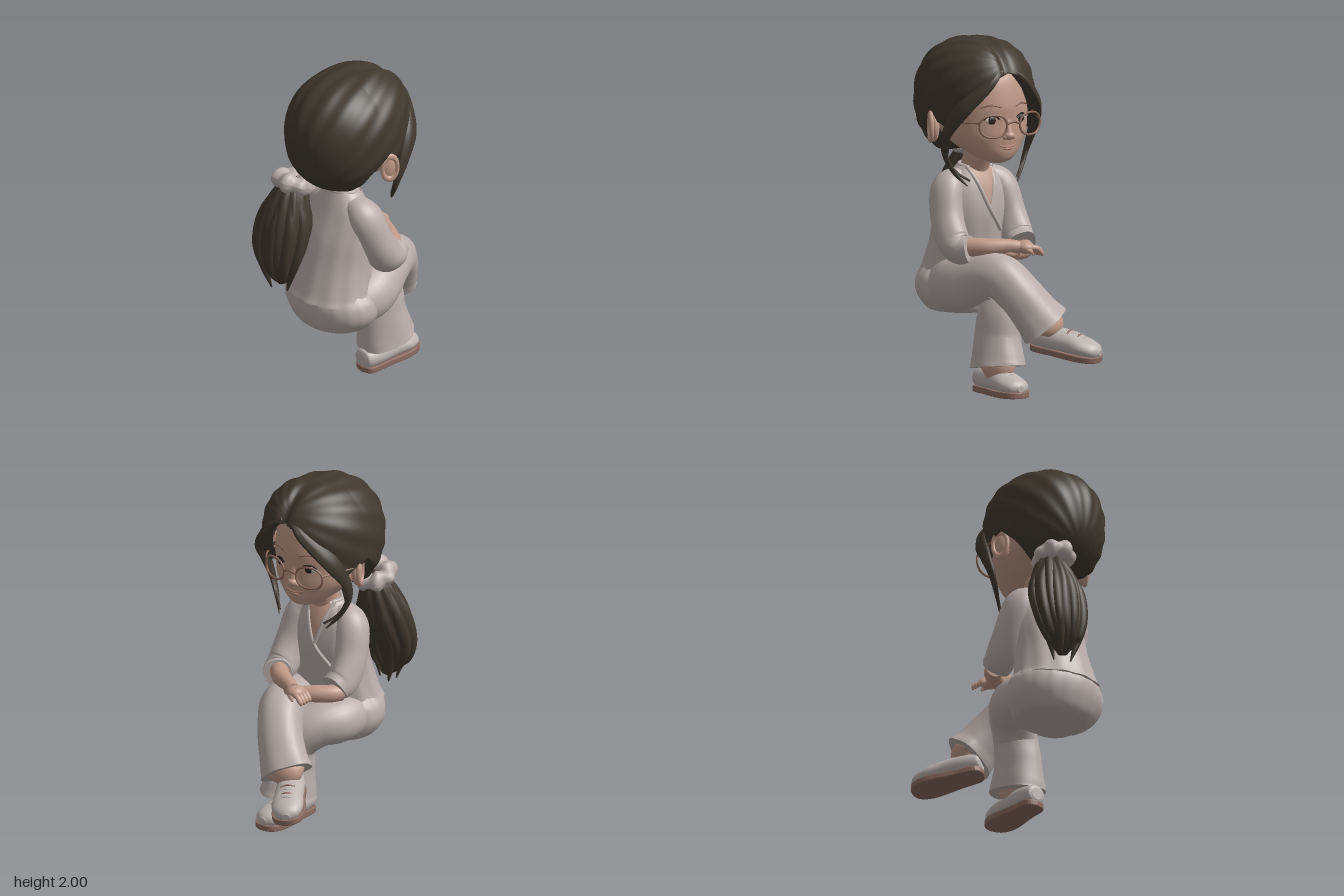
import * as THREE from 'three';

const mat = (name, color, side = THREE.FrontSide) => {
  const m = new THREE.MeshStandardMaterial({ color, side });
  m.name = name;
  return m;
};
const V = (p) => new THREE.Vector3(p[0], p[1], p[2]);

export function createModel() {
  const root = new THREE.Group();
  const hair = mat('dark hair', 0x40382e, THREE.DoubleSide), skin = mat('skin', 0xc09a88);
  const cloth = mat('cloth', 0xb9adaa, THREE.DoubleSide), shoe = mat('shoe', 0xbcb3b0);
  const sole = mat('sole', 0x8d6c61), frame = mat('glasses frame', 0x8a6658);
  const dark = mat('eye', 0x2c2420), lip = mat('lip', 0xb3826f), white = mat('eye white', 0xcabbb2);

  const add = (name, geo, m, parent = root) => {
    const mesh = new THREE.Mesh(geo, m);
    mesh.name = name;
    parent.add(mesh);
    return mesh;
  };

  // Closed loft along rows of [x, y, z, radius along ref, other radius]; axis fixes the ring normal
  function loft(rows, { ref = [0, 0, 1], axis, n = 28, steps = rows.length * 6, ripple = () => 0 } = {}) {
    const path = new THREE.CatmullRomCurve3(rows.map(V), false, 'catmullrom');
    const size = new THREE.CatmullRomCurve3(rows.map((r) => new THREE.Vector3(r[3], r[4] ?? r[3], 0)), false, 'catmullrom');
    const pos = [], idx = [], R = V(ref);
    const ring = (t) => {
      const p = path.getPoint(t), s = size.getPoint(t), T = axis ? V(axis) : path.getTangent(t);
      const S = R.clone().addScaledVector(T, -R.dot(T)).normalize(), N = T.clone().cross(S);
      for (let j = 0; j < n; j++) {
        const a = (j / n) * Math.PI * 2, k = 1 + ripple(a, t);
        const q = p.clone().addScaledVector(S, Math.max(s.x, 0.002) * k * Math.cos(a))
          .addScaledVector(N, Math.max(s.y, 0.002) * k * Math.sin(a));
        pos.push(q.x, q.y, q.z);
      }
    };
    for (let i = 0; i <= steps; i++) ring(i / steps);
    for (let i = 0; i < steps; i++) for (let j = 0; j < n; j++) {
      const a = i * n + j, b = i * n + (j + 1) % n;
      idx.push(a, b, a + n, b, b + n, a + n);
    }
    for (const t of [0, 1]) {
      const base = pos.length / 3, p = path.getPoint(t);
      ring(t);
      pos.push(p.x, p.y, p.z);
      for (let j = 0; j < n; j++) {
        const a = base + j, b = base + (j + 1) % n;
        t ? idx.push(a, b, base + n) : idx.push(b, a, base + n);
      }
    }
    return mesh3(pos, idx);
  }
  function mesh3(pos, idx) {
    const g = new THREE.BufferGeometry();
    g.setAttribute('position', new THREE.Float32BufferAttribute(pos, 3));
    g.setIndex(idx);
    g.computeVertexNormals();
    return g;
  }
  const tube = (pts, r, closed = false) =>
    new THREE.TubeGeometry(new THREE.CatmullRomCurve3(pts.map(V), closed), pts.length * 8, r, 8, closed);
  const ball = (name, m, p, s, parent = root) => {
    const b = add(name, new THREE.SphereGeometry(1, 24, 16), m, parent);
    b.position.set(...p);
    b.scale.set(...s);
    return b;
  };
  // Point on the +x side of a mesh
  const ray = new THREE.Raycaster();
  const onto = (mesh, y, z, lift = 0) => {
    ray.set(new THREE.Vector3(2, y, z), new THREE.Vector3(-1, 0, 0));
    const hit = ray.intersectObject(mesh)[0];
    return [(hit ? hit.point.x : 0) + lift, y, z];
  };
  const folds = (k, amp) => (a, t) => amp * t * Math.sin(k * a + t * 3);
  const up = [0, 1, 0];

  // Head and neck
  const head = add('head', loft([
    [0.06, 1.302, -0.005, 0.035, 0.035], [0.04, 1.322, -0.005, 0.088, 0.095], [0.005, 1.36, -0.003, 0.142, 0.15],
    [-0.03, 1.4, 0, 0.188, 0.192], [-0.07, 1.46, 0, 0.234, 0.24], [-0.095, 1.55, 0, 0.256, 0.265],
    [-0.115, 1.65, 0, 0.262, 0.288], [-0.13, 1.8, 0, 0.24, 0.265], [-0.14, 1.9, 0, 0.15, 0.17]], { n: 48, axis: up }), skin);
  add('neck', loft([[-0.18, 1.16, 0.01, 0.085, 0.085], [-0.14, 1.27, 0.01, 0.075, 0.085], [-0.08, 1.4, 0, 0.08, 0.09]]), skin);
  ball('nose', skin, [0.172, 1.466, -0.01], [0.032, 0.025, 0.032]);
  add('noseBridge', loft([[0.148, 1.56, -0.01, 0.02], [0.17, 1.475, -0.01, 0.022]]), skin);
  for (const s of [1, -1]) {
    const z = -0.005 + s * 0.1;
    ball('nostril', skin, [0.165, 1.458, -0.01 + s * 0.026], [0.02, 0.016, 0.016]);
    ball('eyeWhite', white, onto(head, 1.555, z, -0.006), [0.011, 0.021, 0.037]);
    ball('iris', dark, onto(head, 1.557, z - s * 0.004, -0.001), [0.011, 0.024, 0.027]);
    add('eyelid', tube([-0.042, -0.02, 0.015, 0.042].map((d, i) => onto(head, 1.562 + [0, 0.018, 0.018, 0][i], z + d, 0.003)), 0.005), dark);
    add('eyebrow', tube([-0.055, 0, 0.055].map((d, i) => onto(head, 1.628 + [0, 0.014, 0][i], z + d, -0.001)), 0.005), frame);
    const ear = new THREE.Group();
    ear.name = 'ear';
    ball('earLobe', skin, [0, 0, 0], [0.052, 0.085, 0.03], ear);
    const rim = add('earRim', new THREE.TorusGeometry(0.05, 0.014, 10, 28), skin, ear);
    rim.scale.set(0.9, 1.45, 1);
    rim.position.z = 0.02 * s;
    ear.position.set(-0.1, 1.51, s > 0 ? 0.315 : -0.25);
    ear.rotation.y = -0.45 * s;
    root.add(ear);
  }
  add('mouth', tube([-0.055, -0.02, 0.02, 0.055].map((d, i) => onto(head, 1.402 + [0.008, 0, 0, 0.008][i], d - 0.01, 0)), 0.006), lip);
  ball('lowerLip', lip, onto(head, 1.39, -0.01, -0.003), [0.012, 0.009, 0.03]);

  // Glasses
  const bend = (y, z) => [0.208 - 1.0 * (z + 0.015) ** 2, y, z];
  for (const s of [1, -1]) {
    const rim = [];
    for (let i = 0; i < 20; i++) {
      const a = (i / 20) * Math.PI * 2, c = Math.cos(a), d = Math.sin(a);
      rim.push(bend(1.528 + 0.063 * Math.sign(d) * Math.abs(d) ** 0.9, -0.017 + s * 0.124 + 0.08 * Math.sign(c) * Math.abs(c) ** 0.85));
    }
    add('glassesRim', tube(rim, 0.0065, true), frame);
    add('glassesTemple', tube([bend(1.55, -0.015 + s * 0.203), [0.08, 1.55, s * 0.25], [-0.09, 1.55, s * 0.28]], 0.006), frame);
  }
  add('glassesBridge', tube([bend(1.535, 0.03), [0.212, 1.548, -0.015], bend(1.535, -0.06)], 0.0065), frame);

  // Hair cap: a grooved dome with two front lobes and a hairline that varies around the head
  const hairline = [1.82, 1.79, 1.71, 1.6, 1.48, 1.54, 1.58, 1.5, 1.38, 1.34, 1.34, 1.35, 1.36];
  const cap = { pos: [], idx: [] }, NA = 180, NT = 40, pw = (v, e) => Math.sign(v) * Math.abs(v) ** e;
  for (let i = 0; i <= NT + 1; i++) for (let j = 0; j < NA; j++) {
    const phi = (j / NA) * Math.PI * 2, f = Math.abs(phi > Math.PI ? phi - 2 * Math.PI : phi) / (Math.PI / 12);
    const k = Math.min(Math.floor(f), 11), edge = THREE.MathUtils.lerp(hairline[k], hairline[k + 1], f - k);
    const end = Math.acos(Math.max(-1, pw((edge - 1.65) / 0.345, 1 / 0.9)));
    const th = end * Math.min(i / NT, 1), s = pw(Math.sin(th), 0.9), c = pw(Math.cos(th), 0.9);
    const ux = Math.cos(phi) * s, uz = Math.sin(phi) * s, front = Math.max(0, ux) * Math.max(0, c);
    // strands run from the front parting down to the gathered back
    const v = 0.82 * c - 0.57 * ux;
    const groove = 0.011 * Math.hypot(v, uz) * Math.sin(Math.atan2(uz, v) * 17 + ux * 2);
    const lobe = 0.17 + 0.035 * Math.tanh(uz * 6) - 0.15 * Math.exp(-(((uz - 0.04) / 0.1) ** 2));
    const r = 1 + groove + front * lobe;
    const inner = i > NT ? (f > 7 ? 0.3 : 0.84) : 1;
    cap.pos.push(-0.14 + 0.372 * ux * r * inner, 1.65 + 0.345 * c * r + (i > NT ? 0.02 : 0), 0.02 + 0.322 * uz * r * inner);
  }
  for (let i = 0; i <= NT; i++) for (let j = 0; j < NA; j++) {
    const a = i * NA + j, b = i * NA + (j + 1) % NA;
    cap.idx.push(a, b, a + NA, b, b + NA, a + NA);
  }
  add('hairCap', mesh3(cap.pos, cap.idx), hair);

  // Face-framing locks
  for (const s of [1, -1]) {
    const z = (v) => 0.02 + s * v;
    add('sideLock', loft([[0.19, 1.84, z(0.03), 0.012, 0.015], [0.185, 1.77, z(0.12), 0.03, 0.045], [0.115, 1.63, z(0.245), 0.028, 0.055],
      [0.025, 1.49, z(0.29), 0.018, 0.038], [-0.018, 1.37, z(0.28), 0.014, 0.025], [0.0, 1.26, z(0.23), 0.011, 0.017],
      [0.05, 1.18, z(0.17), 0.003, 0.004]], { n: 20, ripple: (a) => 0.07 * Math.sin(6 * a) }), hair);
    add('wispLock', tube([[0.04, 1.45, z(0.285)], [-0.005, 1.33, z(0.265)], [0.015, 1.25, z(0.21)], [0.06, 1.21, z(0.16)]], 0.007), hair);
  }

  // Ponytail with loose strands and a gathered band
  add('ponytail', loft([[-0.4, 1.37, -0.13, 0.04, 0.04], [-0.415, 1.28, -0.14, 0.1, 0.095], [-0.46, 1.12, -0.145, 0.155, 0.125],
    [-0.505, 0.96, -0.15, 0.165, 0.105], [-0.52, 0.83, -0.145, 0.115, 0.075], [-0.5, 0.72, -0.13, 0.025, 0.02]],
  { n: 60, ripple: (a, t) => 0.06 * Math.sin(11 * a + t * 2) }), hair);
  for (let i = 0; i < 9; i++) {
    const a = (i / 9) * Math.PI * 2, c = Math.cos(a), d = Math.sin(a), low = 0.69 + 0.06 * (i % 3);
    add('ponytailStrand', loft([[-0.42 + 0.05 * d, 1.32, -0.14 + 0.05 * c, 0.02], [-0.46 + 0.1 * d, 1.13, -0.145 + 0.135 * c, 0.035],
      [-0.51 + 0.085 * d, 0.95, -0.15 + 0.145 * c, 0.032], [-0.52 + 0.06 * d, 0.82, -0.145 + 0.105 * c, 0.024],
      [-0.51 + 0.04 * d, low, -0.14 + 0.06 * c, 0.004]], { n: 10 }), hair);
  }
  const band = new THREE.TorusGeometry(0.07, 0.052, 18, 64), bp = band.attributes.position;
  for (let i = 0; i < bp.count; i++) {
    const a = Math.atan2(bp.getY(i), bp.getX(i)), k = 1 + 0.08 * Math.sin(7 * a);
    bp.setXYZ(i, bp.getX(i) * k, bp.getY(i) * k, bp.getZ(i) * (1 + 0.2 * Math.sin(5 * a)));
  }
  band.rotateX(Math.PI / 2).computeVertexNormals();
  const scrunchie = add('scrunchie', band, cloth);
  scrunchie.position.set(-0.415, 1.355, -0.125);
  scrunchie.rotation.z = -0.4;

  // Jacket, neckline and lapels
  const torso = add('jacket', loft([[-0.265, 0.65, 0.01, 0.268, 0.215], [-0.255, 0.7, 0.01, 0.248, 0.203], [-0.22, 0.85, 0.01, 0.222, 0.188],
    [-0.19, 1.0, 0.01, 0.22, 0.172], [-0.17, 1.12, 0.01, 0.21, 0.138], [-0.165, 1.2, 0.01, 0.165, 0.11],
    [-0.165, 1.275, 0.01, 0.09, 0.078]], { n: 60, axis: up, ripple: (a, t) => 0.02 * (1 - t) * Math.sin(12 * a) }), cloth);
  const vee = { pos: [], idx: [] };
  for (let i = 0; i <= 12; i++) for (let j = 0; j <= 6; j++) {
    const y = 1.02 + 0.245 * (i / 12), w = 0.078 * (i / 12);
    vee.pos.push(...onto(torso, y, -0.005 + 0.01 * i / 12 + w * (j / 3 - 1), 0.006));
    if (i < 12 && j < 6) { const a = i * 7 + j; vee.idx.push(a, a + 7, a + 1, a + 1, a + 7, a + 8); }
  }
  add('neckline', mesh3(vee.pos, vee.idx), skin);
  const lapel = (pts) => add('lapel', tube(pts.map(([y, z]) => onto(torso, y, z, 0.002)), 0.012), cloth);
  lapel([[1.265, 0.088], [1.17, 0.053], [1.02, -0.01], [0.9, -0.1]]);
  lapel([[1.265, -0.073], [1.17, -0.053], [1.03, -0.01]]);
  add('collar', tube([[-0.095, 1.258, 0.07], [-0.17, 1.268, 0.098], [-0.24, 1.275, 0.01], [-0.17, 1.268, -0.078], [-0.095, 1.258, -0.055]], 0.012), cloth);

  // Sleeves, forearms and hands; the right hand rests over the left
  for (const s of [1, -1]) {
    const z = (v) => 0.01 + s * v, over = s > 0, y = over ? 0.835 : 0.795;
    const sleeve = [[-0.17, 1.22, z(0.09), 0.05, 0.06], [-0.16, 1.14, z(0.175), 0.09, 0.1], [-0.11, 0.98, z(0.21), 0.092, 0.1],
      [-0.04, 0.86, z(0.215), 0.092, 0.1], [0.025, 0.82, z(0.205), 0.085, 0.085]];
    if (over) sleeve.push([0.07, 0.825, z(0.175), 0.085, 0.075]);
    add('sleeve', loft(sleeve, { ripple: folds(4, 0.04) }), cloth);
    if (!over) {
      add('forearm', loft([[0.0, y, z(0.23), 0.05], [0.06, y, z(0.2), 0.05], [0.12, y, z(0.13), 0.048], [0.16, y, z(0.06), 0.038]], { ref: up }), skin);
      ball('hand', skin, [0.175, y + 0.005, z(0.02)], [0.045, 0.032, 0.055]);
      continue;
    }
    add('forearm', loft([[0.02, y, z(0.21), 0.052], [0.12, y, z(0.11), 0.052], [0.185, y + 0.005, z(0.0), 0.042], [0.22, y, z(-0.06), 0.036]],
      { ref: up }), skin);
    ball('palm', skin, [0.23, y - 0.003, z(-0.09)], [0.055, 0.036, 0.052]);
    for (let i = 0; i < 4; i++) {
      const x = 0.19 + i * 0.025;
      add('finger', loft([[x, y, z(-0.1), 0.017], [x + 0.012, y - 0.008, z(-0.14), 0.016], [x + 0.016, y - 0.035, z(-0.166), 0.014],
        [x + 0.016, y - 0.052, z(-0.17), 0.005]], { ref: [1, 0, 0], n: 10 }), skin);
    }
    add('thumb', loft([[0.25, y, z(-0.06), 0.018], [0.275, y - 0.018, z(-0.09), 0.016], [0.283, y - 0.04, z(-0.11), 0.006]],
      { ref: up, n: 10 }), skin);
  }

  // Trousers: seat, crossed upper leg and standing leg
  add('seat', loft([[-0.215, 0.435, 0.01, 0.17, 0.14], [-0.228, 0.455, 0.01, 0.235, 0.195], [-0.238, 0.54, 0.012, 0.295, 0.222],
    [-0.245, 0.63, 0.012, 0.29, 0.222], [-0.25, 0.7, 0.01, 0.235, 0.19]], { n: 60, axis: up, ripple: (a, t) => 0.015 * t * Math.sin(20 * a) }), cloth);
  add('crossedLeg', loft([[-0.26, 0.585, 0.15, 0.12, 0.12], [-0.1, 0.605, 0.16, 0.15, 0.155], [0.08, 0.665, 0.105, 0.14, 0.14],
    [0.19, 0.67, 0.06, 0.13, 0.13], [0.285, 0.57, -0.01, 0.13, 0.12], [0.34, 0.46, -0.08, 0.14, 0.122], [0.365, 0.395, -0.125, 0.158, 0.128]],
  { ripple: folds(5, 0.035) }), cloth);
  add('standingLeg', loft([[-0.26, 0.585, -0.13, 0.12, 0.12], [-0.08, 0.58, -0.13, 0.14, 0.135], [0.05, 0.56, -0.06, 0.13, 0.13],
    [0.12, 0.46, 0.02, 0.12, 0.135], [0.125, 0.32, 0.04, 0.125, 0.145], [0.14, 0.2, 0.047, 0.14, 0.17], [0.147, 0.155, 0.05, 0.148, 0.18]],
  { ripple: folds(5, 0.03) }), cloth);
  // Bare ankles with the shaded skin just inside each hem
  add('ankle', loft([[0.352, 0.43, -0.1, 0.11, 0.09], [0.366, 0.391, -0.128, 0.11, 0.09], [0.355, 0.36, -0.13, 0.055, 0.055], [0.345, 0.3, -0.135, 0.05, 0.05]]), skin);
  add('ankle', loft([[0.12, 0.2, 0.045, 0.1, 0.12], [0.12, 0.151, 0.045, 0.1, 0.12], [0.09, 0.13, 0.045, 0.055, 0.07], [0.08, 0.08, 0.045, 0.05, 0.06]]), skin);

  // Shoes
  const outline = new THREE.Shape(new THREE.SplineCurve([[-0.21, 0], [-0.18, 0.06], [-0.06, 0.072], [0.1, 0.09], [0.185, 0.065], [0.213, 0],
    [0.185, -0.065], [0.1, -0.09], [-0.06, -0.072], [-0.18, -0.06], [-0.21, 0]].map((p) => new THREE.Vector2(...p))).getPoints(60));
  const soleGeo = new THREE.ExtrudeGeometry(outline, { depth: 0.024, bevelSize: 0.005, bevelThickness: 0.006, bevelSegments: 2 })
    .rotateX(-Math.PI / 2).translate(0, 0.006, 0);
  const upperGeo = loft([[-0.208, 0.078, 0, 0.035, 0.036], [-0.19, 0.078, 0, 0.062, 0.058], [-0.1, 0.08, 0, 0.078, 0.07],
    [0.02, 0.078, 0, 0.083, 0.068], [0.11, 0.067, 0, 0.09, 0.056], [0.18, 0.058, 0, 0.068, 0.042], [0.212, 0.054, 0, 0.02, 0.018]],
  { axis: [1, 0, 0] });
  const addShoe = (name, p, roll, yaw, pitch) => {
    const g = new THREE.Group();
    g.name = name;
    add('sole', soleGeo, sole, g);
    add('upper', upperGeo, shoe, g);
    for (let i = 0; i < 4; i++) {
      const x = 0.015 + i * 0.03, y = 0.148 - i * 0.0075;
      add('lace', tube([[x, y - 0.014, 0.042], [x, y, 0], [x, y - 0.014, -0.042]], 0.006), i % 2 ? shoe : sole, g);
    }
    g.position.set(...p);
    g.rotation.set(roll, yaw, pitch, 'YZX');
    root.add(g);
  };
  addShoe('standingShoe', [0.165, 0, 0.045], 0, 0, 0);
  addShoe('raisedShoe', [0.435, 0.236, -0.215], 0.12, 0.58, -0.14);
  return root;
}
